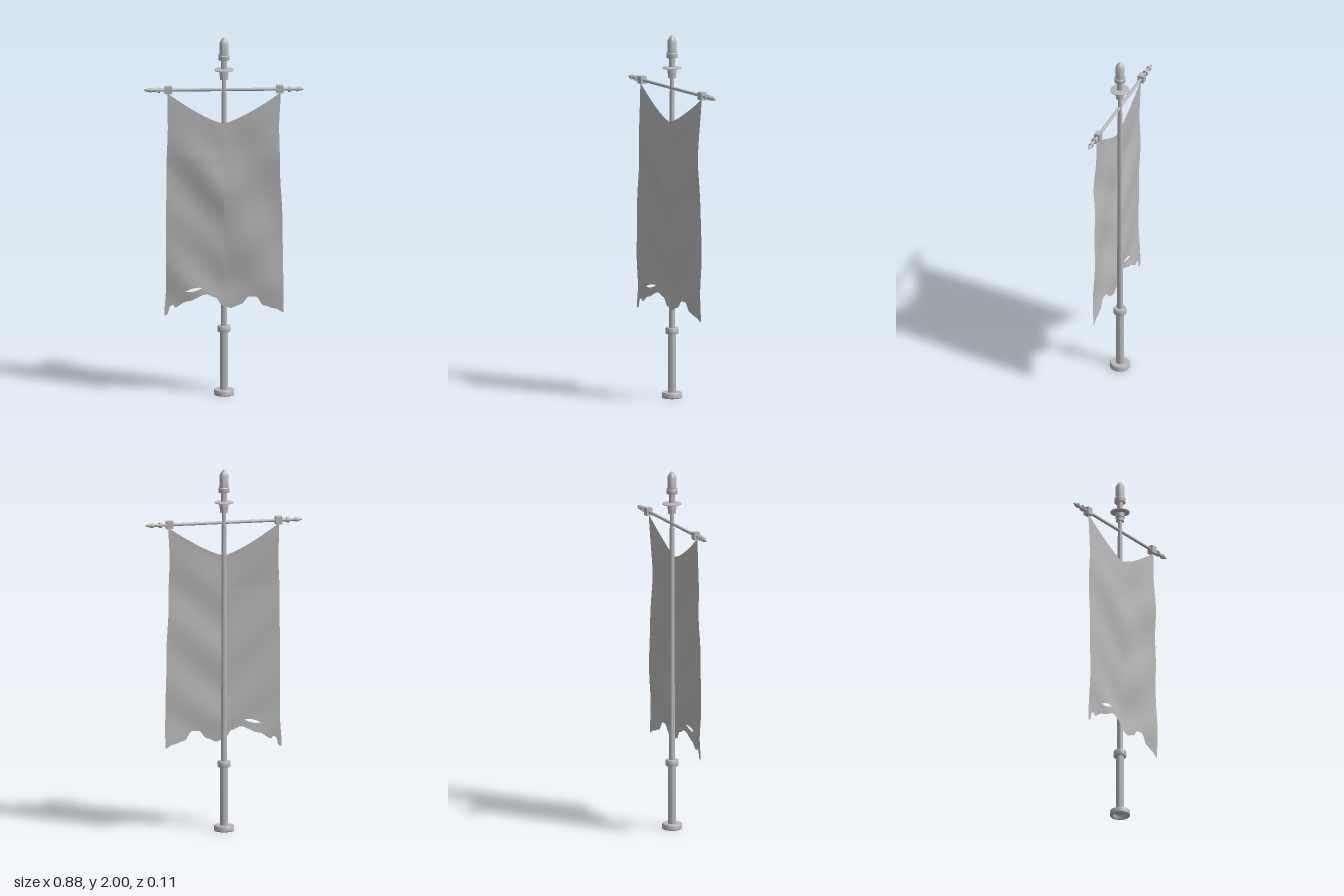
import * as THREE from 'three';
import { toCreasedNormals } from 'three/addons/utils/BufferGeometryUtils.js';

const grey = new THREE.MeshStandardMaterial({ color: 0xb8b8b8, side: THREE.DoubleSide });
grey.name = 'bannerGrey';

function add(group, name, geometry) {
  const mesh = new THREE.Mesh(geometry, grey);
  mesh.name = name;
  group.add(mesh);
  return mesh;
}

// Turned part from [radius, height] pairs, with crisp corners
function turned(points, sides = 24) {
  const g = new THREE.LatheGeometry(points.map(p => new THREE.Vector2(p[0], p[1])), sides);
  return toCreasedNormals(g, 0.6);
}

// Smoothly eased value through [x, y] pairs
function through(points, x) {
  if (x <= points[0][0]) return points[0][1];
  for (let i = 1; i < points.length; i++) {
    const [x0, y0] = points[i - 1], [x1, y1] = points[i];
    if (x <= x1) return y0 + (y1 - y0) * THREE.MathUtils.smoothstep(x, x0, x1);
  }
  return points[points.length - 1][1];
}

// Cloth outline: sagging top, torn hem, slit, wavering sides
const hem = [[-0.322, 0.45], [-0.305, 0.455], [-0.292, 0.505], [-0.276, 0.508], [-0.268, 0.495],
  [-0.2, 0.53], [-0.1, 0.567], [-0.05, 0.55], [-0.01, 0.505], [0.037, 0.49], [0.09, 0.51],
  [0.135, 0.553], [0.172, 0.553], [0.215, 0.502], [0.275, 0.485], [0.322, 0.463]];
const leftSide = [[0.45, -0.325], [0.6, -0.316], [0.95, -0.316], [1.3, -0.312], [1.5, -0.306], [1.7, -0.308]];
const rightSide = [[0.46, 0.322], [0.7, 0.321], [1.0, 0.316], [1.25, 0.304], [1.5, 0.299], [1.7, 0.308]];
const topEdge = x => 1.522 + 0.168 * Math.pow(Math.abs(x) / 0.322, 1.35);
const seam = x => Math.min(0.62, 0.594 + 0.22 * (x + 0.17));
const slit = x => Math.max(0, 1 - Math.pow((x + 0.17) / 0.047, 2)) * 0.009;

// Depth of the draped folds
function foldDepth(x, y) {
  const drop = THREE.MathUtils.clamp((1.69 - y) / 0.35, 0, 1);
  const centre = 1 - Math.pow(x / 0.33, 2);
  const swag = Math.sin((y - 0.9 * Math.abs(x) + 0.12 * x) * 17 + 1.2);
  const slant = Math.sin(x * 14 + y * 7);
  const hemEase = THREE.MathUtils.smoothstep(y, 0.42, 0.65);
  return 0.006 + drop * (0.013 + 0.006 * centre + hemEase * (0.005 * swag * (0.35 + 0.65 * centre) + 0.006 * slant));
}

// Grid of cloth between two height curves
function clothBand(upper, lower, rows) {
  const cols = 96;
  const g = new THREE.PlaneGeometry(1, 1, cols, rows);
  const p = g.attributes.position;
  for (let i = 0; i < p.count; i++) {
    const u = p.getX(i) + 0.5, x0 = (u - 0.5) * 0.644;
    const y = THREE.MathUtils.lerp(lower(x0), upper(x0), p.getY(i) + 0.5);
    const x = THREE.MathUtils.lerp(through(leftSide, y), through(rightSide, y), u);
    p.setXYZ(i, x, y, foldDepth(x, y));
  }
  g.computeVertexNormals();
  return g;
}

export function createModel() {
  const model = new THREE.Group();
  model.name = 'bannerStandard';

  // Pole with hollow foot, grip and collar
  add(model, 'foot', turned([[0, 0.02], [0.036, 0.02], [0.04, 0], [0.052, 0], [0.055, 0.004],
    [0.055, 0.026], [0.052, 0.031], [0, 0.031]]));
  add(model, 'grip', turned([[0.023, 0.03], [0.023, 0.36]]));
  add(model, 'gripCollar', turned([[0, 0.354], [0.034, 0.354], [0.035, 0.357], [0.035, 0.383],
    [0.033, 0.387], [0, 0.387]]));
  add(model, 'pole', turned([[0.017, 0.38], [0.014, 1.0], [0.012, 1.78]]));

  // Finial stack
  add(model, 'finialSocket', turned([[0, 1.763], [0.021, 1.763], [0.021, 1.785], [0.025, 1.787],
    [0.025, 1.81], [0, 1.81]]));
  add(model, 'finialDisc', turned([[0, 1.812], [0.03, 1.812], [0.052, 1.816], [0.052, 1.82],
    [0.03, 1.825], [0, 1.825]], 32));
  add(model, 'finialNeck', turned([[0.017, 1.82], [0.017, 1.88]]));
  add(model, 'finialCollar', turned([[0, 1.874], [0.03, 1.874], [0.031, 1.878], [0.031, 1.898],
    [0.028, 1.902], [0, 1.902]]));
  add(model, 'finialTip', turned([[0.026, 1.9], [0.024, 1.968], [0.019, 1.98], [0.009, 1.994], [0, 2]]));

  // Crossbar with mirrored clamps, rings and points
  const bar = add(model, 'crossbar', new THREE.CylinderGeometry(0.0085, 0.0085, 0.8, 16));
  bar.rotation.z = Math.PI / 2;
  bar.position.y = 1.707;
  for (const side of [-1, 1]) {
    const end = new THREE.Group();
    end.name = side > 0 ? 'leftBarEnd' : 'rightBarEnd';
    end.position.y = 1.707;
    end.rotation.z = -side * Math.PI / 2;
    add(end, 'clamp', new THREE.BoxGeometry(0.042, 0.038, 0.034)).position.y = 0.303;
    add(end, 'innerRing', new THREE.CylinderGeometry(0.016, 0.016, 0.014, 16)).position.y = 0.354;
    add(end, 'outerRing', new THREE.CylinderGeometry(0.013, 0.013, 0.013, 16)).position.y = 0.4;
    add(end, 'barPoint', turned([[0.0085, 0.4], [0.01, 0.408], [0.0085, 0.42], [0.004, 0.433], [0, 0.44]], 16));
    model.add(end);
  }

  // Cloth in two bands that part at the slit
  add(model, 'clothMain', clothBand(topEdge, x => seam(x) + slit(x), 64));
  add(model, 'clothHem', clothBand(x => seam(x) - slit(x), x => through(hem, x), 10));
  return model;
}
